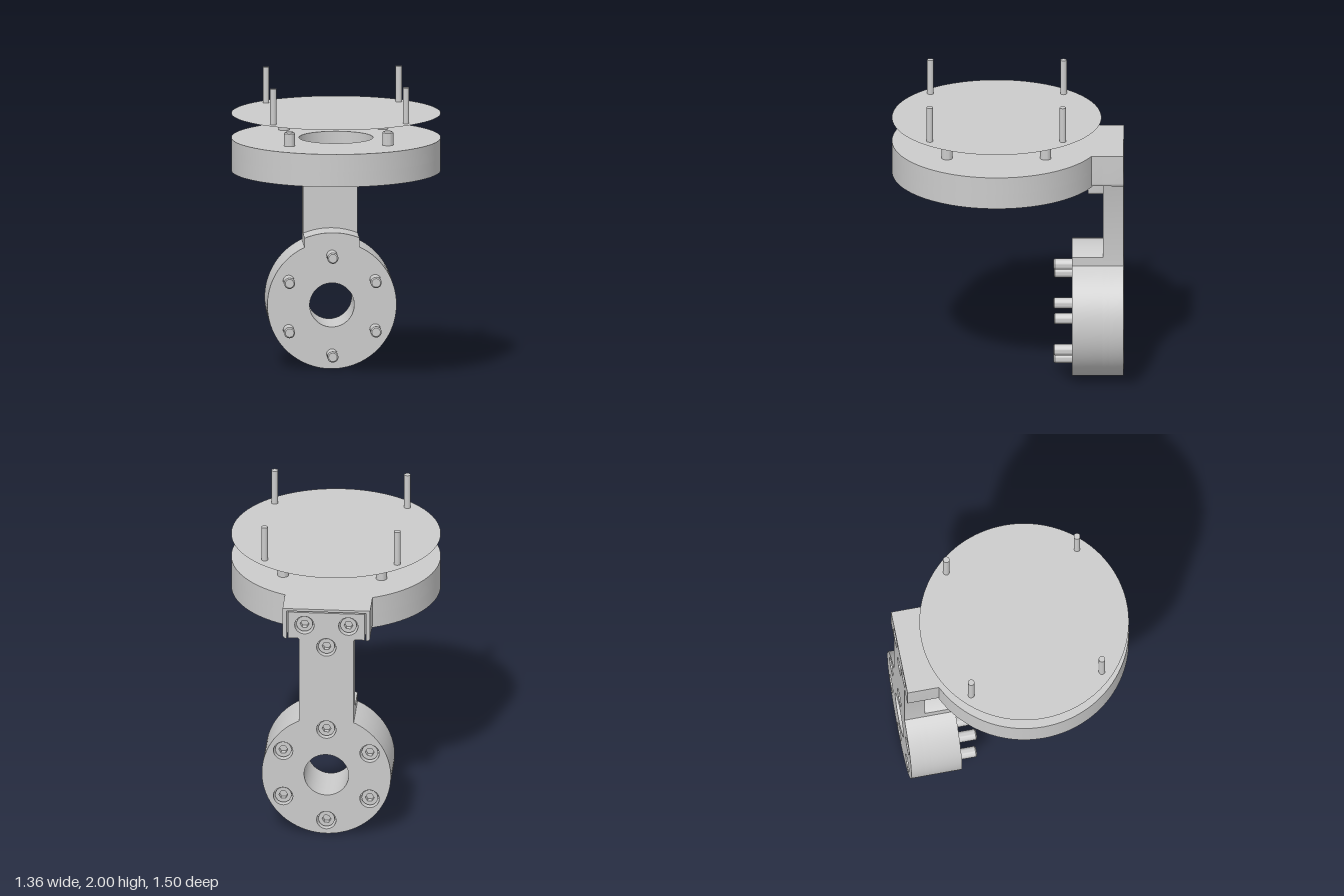
import * as THREE from 'three';
import { toCreasedNormals } from 'three/addons/utils/BufferGeometryUtils.js';

const RING_Y = 0.42, DISC_Z = 0.07, BACK = -0.755;
const BORE = 0.063, BOLT_R = 0.036;

export function createModel() {
  const group = new THREE.Group();
  const material = new THREE.MeshStandardMaterial({ color: 0xcccccc });

  const add = (name, geometry, parent = group, mat = material) => {
    const mesh = new THREE.Mesh(geometry, mat);
    mesh.name = name;
    parent.add(mesh);
    return mesh;
  };
  const hole = (x, y, r) => new THREE.Path().absarc(x, y, r, 0, Math.PI * 2, true);
  // Extrude a front-view shape between two z positions
  const slab = (shape, z0, z1, segments = 48) => toCreasedNormals(
    new THREE.ExtrudeGeometry(shape, { depth: z1 - z0, bevelEnabled: false, curveSegments: segments })
      .translate(0, 0, z0), 0.5);

  // Socket-head bolt along +z, head face at z = 0
  const bolt = (length) => {
    const b = new THREE.Group();
    b.name = 'bolt';
    const head = new THREE.Shape().absarc(0, 0, 0.053, 0, Math.PI * 2);
    const hex = [];
    for (let i = 0; i < 6; i++) {
      const a = -i * Math.PI / 3;
      hex.push(new THREE.Vector2(0.029 * Math.cos(a), 0.029 * Math.sin(a)));
    }
    head.holes.push(new THREE.Path(hex));
    add('boltHead', slab(head, 0, 0.07, 14), b);
    const profile = [[0, 0.035], [BOLT_R, 0.035], [BOLT_R, length - 0.008], [BOLT_R - 0.008, length], [0, length]]
      .map(([r, y]) => new THREE.Vector2(r, y));
    add('boltShank', toCreasedNormals(new THREE.LatheGeometry(profile, 28).rotateX(Math.PI / 2), 0.5), b);
    group.add(b);
    return b;
  };

  // Bolt positions
  const ringBolts = [];
  for (let i = 0; i < 6; i++) {
    const a = Math.PI / 2 + i * Math.PI / 3;
    ringBolts.push([0.325 * Math.cos(a), RING_Y + 0.325 * Math.sin(a)]);
  }
  const clampBolts = [[-0.143, 1.49], [0.143, 1.49], [0, 1.335]];
  const corners = [[-1, -1], [1, -1], [1, 1], [-1, 1]];

  // Ring with a neck, topped by either an arc or the long T-shaped arm
  const ringShape = (withArm, bores) => {
    const w = 0.178, a = Math.acos(w / 0.42), s = new THREE.Shape();
    s.absarc(0, RING_Y, 0.42, Math.PI - a, Math.PI * 2 + a, false);
    if (withArm) {
      s.lineTo(w, 1.383);
      s.quadraticCurveTo(w, 1.395, w + 0.012, 1.395);
      s.lineTo(0.25, 1.395);
      s.lineTo(0.25, 1.58);
      s.lineTo(-0.25, 1.58);
      s.lineTo(-0.25, 1.395);
      s.lineTo(-w - 0.012, 1.395);
      s.quadraticCurveTo(-w, 1.395, -w, 1.383);
    } else {
      const t = Math.acos(w / 0.475);
      s.absarc(0, RING_Y, 0.475, t, Math.PI - t, false);
    }
    s.closePath();
    s.holes.push(hole(0, RING_Y, 0.145));
    if (bores) for (const [x, y] of [...ringBolts, ...clampBolts]) s.holes.push(hole(x, y, BORE));
    return s;
  };
  add('armCounterbored', slab(ringShape(true, true), BACK, -0.665));
  add('armPlate', slab(ringShape(true, false), -0.665, -0.62));
  add('ringFront', slab(ringShape(false, false), -0.62, -0.42));
  for (const [x, y] of ringBolts) bolt(0.435).position.set(x, y, -0.735);
  for (const [x, y] of clampBolts) bolt(y > 1.4 ? 0.18 : 0.212).position.set(x, y, -0.735);

  // Mounting block behind the disc, open at the back for the arm's head
  const blockShape = (notched) => {
    const w = 0.285, lo = 1.39, hi = 1.605, r = 0.025, n = 0.258;
    const s = new THREE.Shape();
    s.moveTo(-w, hi);
    s.lineTo(-w, lo + r);
    s.quadraticCurveTo(-w, lo, -w + r, lo);
    if (notched) {
      s.lineTo(-n, lo);
      s.lineTo(-n, 1.588);
      s.lineTo(n, 1.588);
      s.lineTo(n, lo);
    }
    s.lineTo(w - r, lo);
    s.quadraticCurveTo(w, lo, w, lo + r);
    s.lineTo(w, hi);
    s.closePath();
    return s;
  };
  add('blockFrame', slab(blockShape(true), BACK, -0.62, 8));
  add('block', slab(blockShape(false), -0.62, -0.53, 8));

  // Tab below the block that takes the lower clamp bolt
  const tab = new THREE.Shape();
  tab.moveTo(-0.12, 1.4);
  tab.lineTo(-0.12, 1.295);
  tab.quadraticCurveTo(-0.12, 1.275, -0.1, 1.275);
  tab.lineTo(0.1, 1.275);
  tab.quadraticCurveTo(0.12, 1.275, 0.12, 1.295);
  tab.lineTo(0.12, 1.4);
  tab.closePath();
  add('tab', slab(tab, -0.62, -0.525, 8));

  // Thick disc: counterbored lower layer and plain upper layer
  const discLayer = (y0, y1, bores) => {
    const s = new THREE.Shape().absarc(0, -DISC_Z, 0.68, 0, Math.PI * 2);
    s.holes.push(hole(0, -DISC_Z, 0.24));
    if (bores) for (const [x, z] of corners) s.holes.push(hole(0.32 * x, 0.32 * z - DISC_Z, BORE));
    return slab(s, y0, y1, 64).rotateX(-Math.PI / 2);
  };
  add('discLower', discLayer(1.39, 1.49, true));
  add('discUpper', discLayer(1.49, 1.605, false));

  // Thin cover sheet above the disc
  const sheetMaterial = material.clone();
  sheetMaterial.side = THREE.DoubleSide;
  add('coverSheet', new THREE.CircleGeometry(0.68, 128).rotateX(-Math.PI / 2), group, sheetMaterial)
    .position.set(0, 1.765, DISC_Z);

  // Disc bolts and the upright pins on the sheet
  for (const [x, z] of corners) {
    const b = bolt(0.275);
    b.rotation.x = -Math.PI / 2;
    b.position.set(0.32 * x, 1.42, DISC_Z + 0.32 * z);
    add('pin', new THREE.CylinderGeometry(0.021, 0.021, 0.237, 24))
      .position.set(0.432 * x, 1.8815, DISC_Z + 0.432 * z);
  }
  return group;
}
